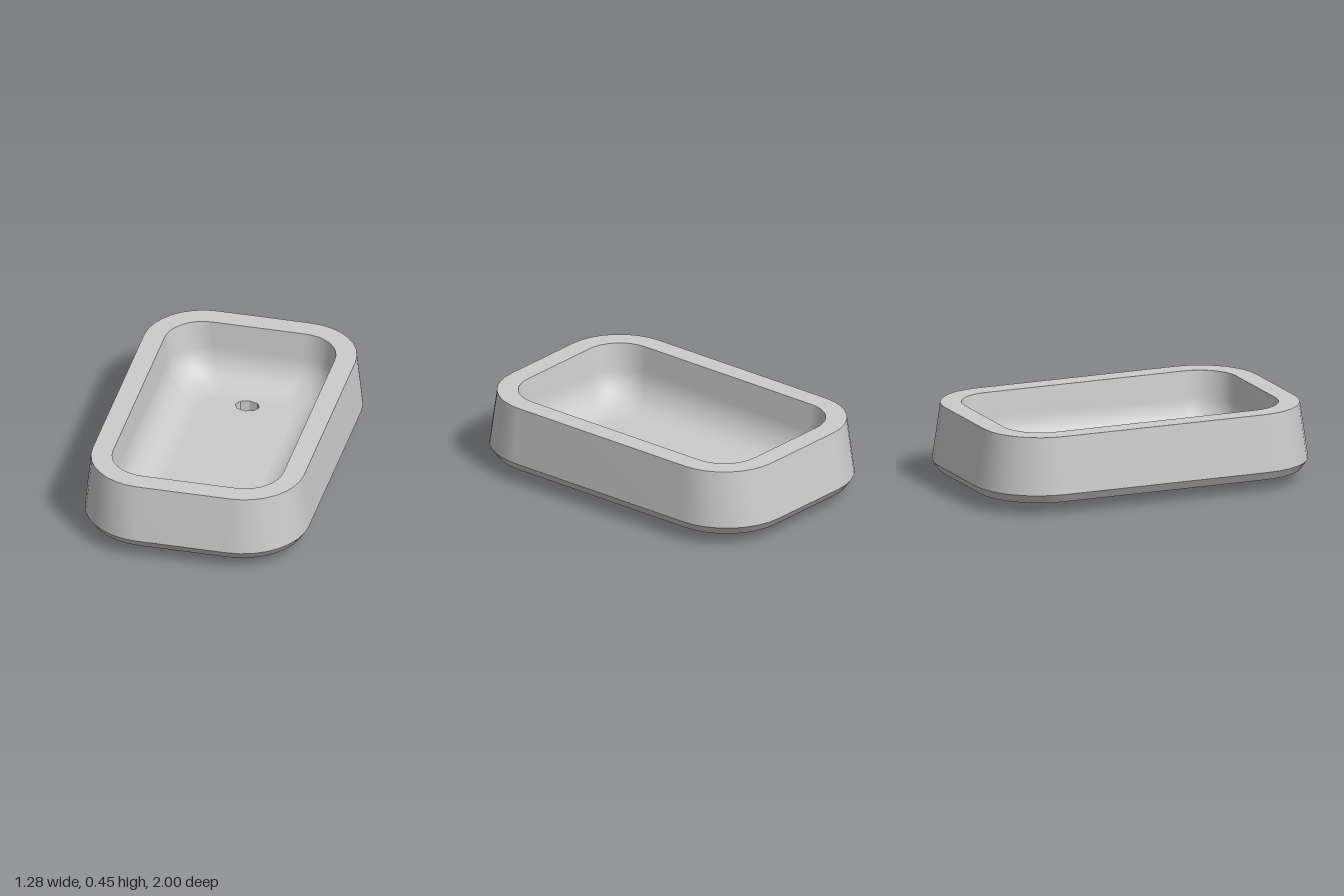
import * as THREE from 'three';

const material = new THREE.MeshStandardMaterial({ color: 0xcccccc, side: THREE.DoubleSide });
const CORNER = 8;

// Outline of a rounded rectangle as [x, z] points
function outline(hx, hz, r) {
  const pts = [];
  const signs = [[1, 1], [-1, 1], [-1, -1], [1, -1]];
  signs.forEach(([sx, sz], q) => {
    for (let i = 0; i <= CORNER; i++) {
      const a = (q + i / CORNER) * Math.PI / 2;
      pts.push([sx * (hx - r) + r * Math.cos(a), sz * (hz - r) + r * Math.sin(a)]);
    }
  });
  return pts;
}

// Skin through rounded rectangles given as [halfX, halfZ, radius, y]
function loft(rings) {
  const pos = [], index = [];
  let n = 0;
  for (const [hx, hz, r, y] of rings) {
    const pts = outline(hx, hz, r);
    n = pts.length;
    for (const [x, z] of pts) pos.push(x, y, z);
  }
  for (let k = 0; k < rings.length - 1; k++) {
    for (let i = 0; i < n; i++) {
      const j = (i + 1) % n;
      const a = k * n + i, b = k * n + j, c = a + n, d = b + n;
      index.push(a, b, c, b, d, c);
    }
  }
  const geo = new THREE.BufferGeometry();
  geo.setAttribute('position', new THREE.Float32BufferAttribute(pos, 3));
  geo.setIndex(index);
  geo.computeVertexNormals();
  return geo;
}

export function createModel() {
  const group = new THREE.Group();
  const add = (name, geo, mat = material) => {
    const mesh = new THREE.Mesh(geo, mat);
    mesh.name = name;
    group.add(mesh);
    return mesh;
  };

  const top = 0.446, floorY = 0.1;
  const rimInner = [0.49, 0.83, 0.22, top];
  const rimOuter = [0.608, 0.95, 0.34, top];
  const waist = [0.64, 1, 0.38, 0.12];
  const foot = [0.607, 0.965, 0.35, 0.07];

  // Outer skirt, open underneath, with a bevel turning in at the foot
  add('skirt', loft([rimOuter, waist]));
  add('footBevel', loft([waist, foot]));
  add('rim', loft([rimInner, rimOuter]));

  // Bowl walls sweep from the flat floor up to the rim
  const bowlRing = (inset, y) => [0.49 - inset, 0.83 - inset, 0.22 - inset * 0.4, y];
  const rings = [];
  const steps = 10;
  for (let i = 0; i <= steps; i++) {
    const a = (i / steps) * Math.PI / 2;
    rings.push(bowlRing(0.015 + 0.195 * (1 - Math.sin(a)), floorY + 0.22 * (1 - Math.cos(a))));
  }
  rings.push(rimInner);
  add('bowlWalls', loft(rings));

  // Floor with the drain opening
  const drain = { rx: 0.07, rz: 0.053, z: -0.555, sides: 8 };
  const floorRing = rings[0];
  const shape = new THREE.Shape(
    outline(floorRing[0], floorRing[1], floorRing[2]).map(([x, z]) => new THREE.Vector2(x, -z)));
  const hole = [];
  for (let i = 0; i < drain.sides; i++) {
    const a = -(i / drain.sides) * Math.PI * 2;
    hole.push(new THREE.Vector2(drain.rx * Math.cos(a), -drain.z + drain.rz * Math.sin(a)));
  }
  shape.holes.push(new THREE.Path(hole));
  add('bowlFloor', new THREE.ShapeGeometry(shape).rotateX(-Math.PI / 2).translate(0, floorY, 0));

  // Drain pipe, open above and closed below
  const faceted = material.clone();
  faceted.flatShading = true;
  const pipe = new THREE.CylinderGeometry(1, 1, floorY, drain.sides, 1, true);
  add('drainPipe', pipe.scale(drain.rx, 1, drain.rz).translate(0, floorY / 2, drain.z), faceted);
  const cap = new THREE.CircleGeometry(1, drain.sides).rotateX(Math.PI / 2);
  add('drainCap', cap.scale(drain.rx, 1, drain.rz).translate(0, 0, drain.z), faceted);

  return group;
}
